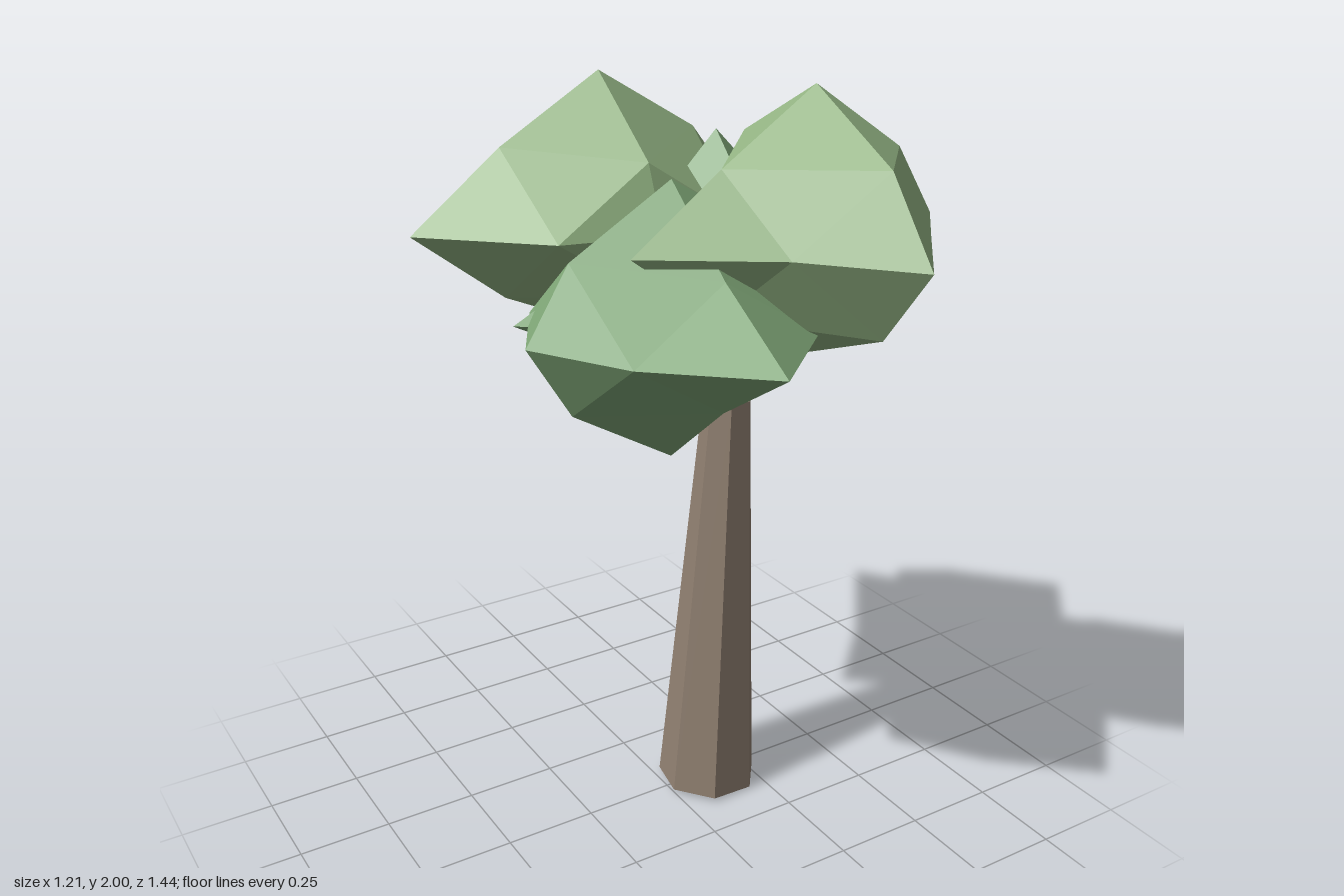
import * as THREE from 'three';

const trunkMaterial = new THREE.MeshStandardMaterial({ color: 0x8f7f70, flatShading: true });
const upperGreen = new THREE.MeshStandardMaterial({ color: 0x94b584, flatShading: true });
const lowerGreen = new THREE.MeshStandardMaterial({ color: 0x80a878, flatShading: true });

// Faceted leaf clump: a split octahedron whose six tips and edge midpoints
// are pushed out to their own distances. reach = [+x, -x, +y, -y, +z, -z],
// mids = midpoint radius in the xy, yz and xz planes.
function leafClump(name, material, center, reach, mids) {
  const geometry = new THREE.OctahedronGeometry(1, 1);
  const pos = geometry.attributes.position;
  const flatten = 0.68;
  for (let i = 0; i < pos.count; i++) {
    const v = [pos.getX(i), pos.getY(i), pos.getZ(i)].map((c) => (Math.abs(c) < 0.01 ? 0 : Math.sign(c)));
    const used = v.filter((c) => c !== 0).length;
    if (used === 1) {
      const axis = v.findIndex((c) => c !== 0);
      v[axis] *= reach[axis * 2 + (v[axis] < 0 ? 1 : 0)];
    } else {
      const radius = v[2] === 0 ? mids[0] : v[0] === 0 ? mids[1] : mids[2];
      for (let k = 0; k < 3; k++) v[k] *= radius * Math.SQRT1_2 * (k === 1 ? flatten : 1);
    }
    pos.setXYZ(i, v[0], v[1], v[2]);
  }
  geometry.computeVertexNormals();
  const mesh = new THREE.Mesh(geometry, material);
  mesh.name = name;
  mesh.position.set(...center);
  return mesh;
}

export function createModel() {
  const tree = new THREE.Group();
  tree.name = 'tree';

  // Leaning, tapered seven-sided trunk
  const trunk = new THREE.Mesh(
    new THREE.CylinderGeometry(0.065, 0.14, 1.15, 7, 1, false, THREE.MathUtils.degToRad(27)),
    trunkMaterial
  );
  trunk.name = 'trunk';
  trunk.position.set(0.16, 0.583, 0.003);
  trunk.rotation.set(-0.012, 0, -0.05);
  tree.add(trunk);

  // Crown of overlapping leaf clumps
  tree.add(
    leafClump('frontUpperLeaves', upperGreen, [0.22, 1.66, 0.285],
      [0.365, 0.49, 0.34, 0.3, 0.435, 0.4], [0.36, 0.4, 0.28]),
    leafClump('backUpperLeaves', upperGreen, [-0.1, 1.66, -0.153],
      [0.41, 0.505, 0.34, 0.3, 0.298, 0.57], [0.38, 0.33, 0.35]),
    leafClump('frontLowerLeaves', lowerGreen, [-0.1, 1.46, 0.18],
      [0.38, 0.382, 0.34, 0.34, 0.473, 0.36], [0.38, 0.32, 0.35]),
    leafClump('backLowerLeaves', lowerGreen, [0.22, 1.46, -0.255],
      [0.38, 0.38, 0.325, 0.34, 0.33, 0.4], [0.37, 0.4, 0.29]),
    leafClump('centerLeaves', lowerGreen, [0.13, 1.46, 0.012],
      [0.365, 0.56, 0.405, 0.32, 0.36, 0.36], [0.34, 0.34, 0.33])
  );
  return tree;
}
